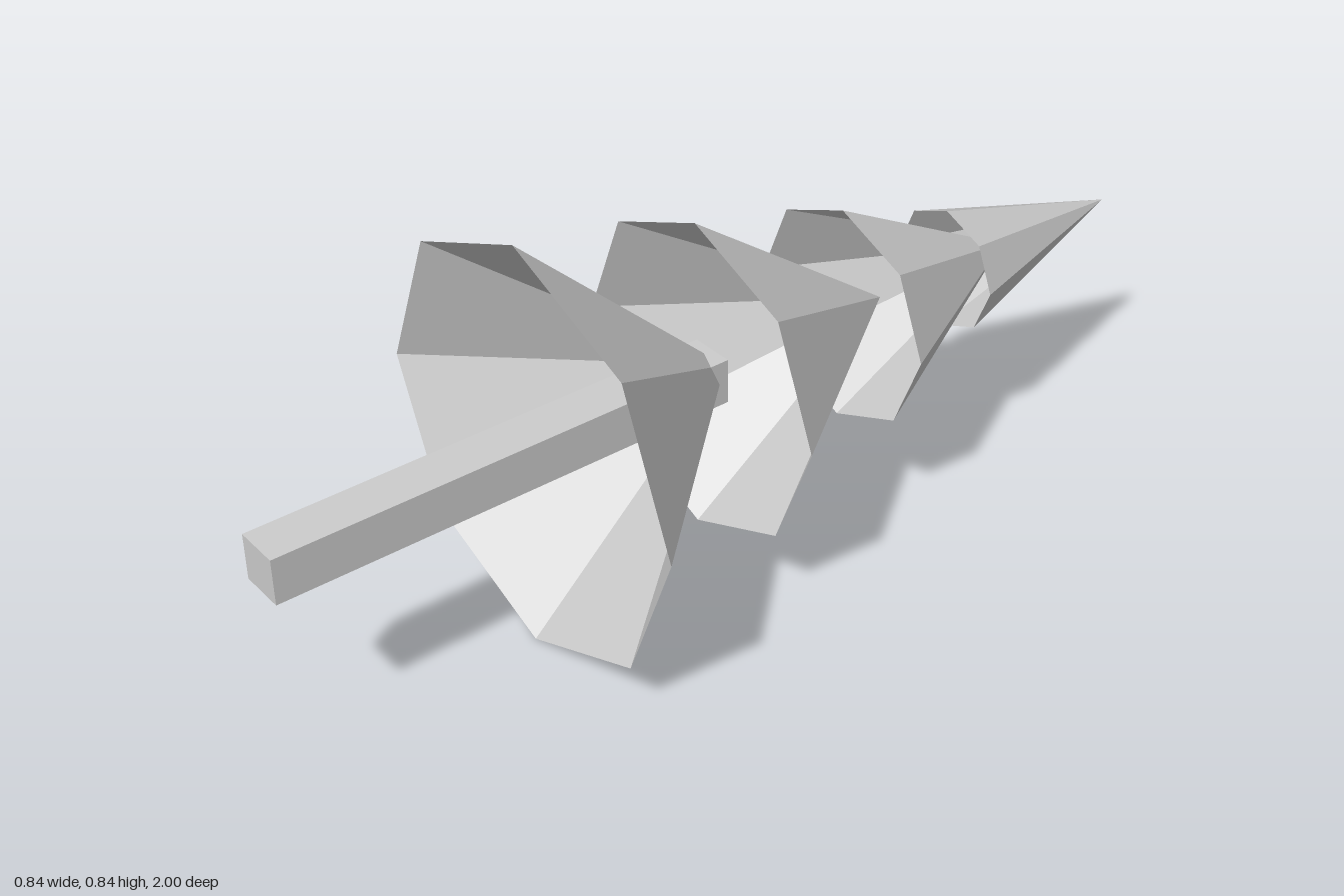
import * as THREE from 'three';

const AXIS_Y = 0.42; // height of the axis of the tree, which lies along z

export function createModel() {
  const group = new THREE.Group();
  const grey = new THREE.MeshStandardMaterial({
    color: 0xcccccc, flatShading: true, side: THREE.DoubleSide,
  });
  grey.name = 'plain grey';

  // Hollow eight-sided foliage tiers: [rim z, rim radius, apex z]
  const tiers = [
    [0.473, 0.42, 0.02],
    [0.088, 0.326, -0.37],
    [-0.265, 0.229, -0.705],
    [-0.542, 0.131, -1],
  ];
  tiers.forEach(([rimZ, radius, apexZ], i) => {
    const height = rimZ - apexZ;
    const geometry = new THREE.ConeGeometry(radius, height, 8, 1, true);
    geometry.rotateX(-Math.PI / 2); // apex towards -z
    const tier = new THREE.Mesh(geometry, grey);
    tier.name = `foliageTier${i + 1}`;
    tier.position.set(0, AXIS_Y, (rimZ + apexZ) / 2);
    group.add(tier);
  });

  // Square trunk, running up into the lowest tier
  const trunkEnd = 0.05;
  const trunk = new THREE.Mesh(new THREE.BoxGeometry(0.092, 0.092, 1 - trunkEnd), grey);
  trunk.name = 'trunk';
  trunk.position.set(0, AXIS_Y, (1 + trunkEnd) / 2);
  group.add(trunk);

  return group;
}
